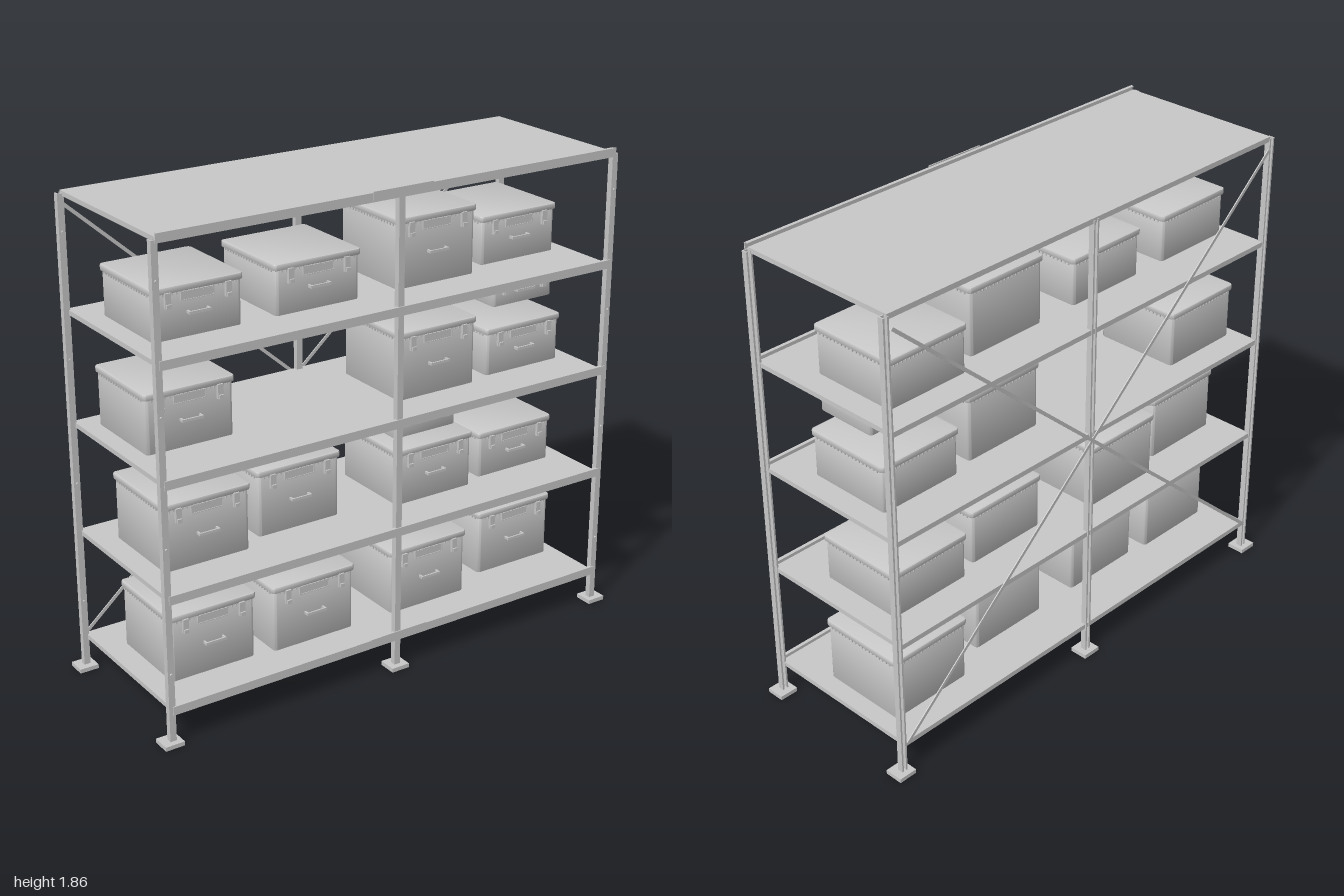
import * as THREE from 'three';
import { mergeGeometries, toCreasedNormals } from 'three/addons/utils/BufferGeometryUtils.js';

const grey = new THREE.MeshStandardMaterial({ color: 0xc8c8c8 });
grey.name = 'galvanised grey';

function add(parent, name, geometry, x = 0, y = 0, z = 0) {
  const mesh = new THREE.Mesh(geometry, grey);
  mesh.name = name;
  mesh.position.set(x, y, z);
  parent.add(mesh);
  return mesh;
}

const boxAt = (w, h, d, x = 0, y = 0, z = 0) => new THREE.BoxGeometry(w, h, d).translate(x, y, z);

// Upright slab with a rounded-rectangle plan, standing on y = 0
function roundedSlab(w, h, d, r, bevel) {
  const a = w / 2 - bevel, b = d / 2 - bevel;
  const s = new THREE.Shape();
  s.moveTo(-a + r, -b);
  s.lineTo(a - r, -b).absarc(a - r, -b + r, r, -Math.PI / 2, 0);
  s.lineTo(a, b - r).absarc(a - r, b - r, r, 0, Math.PI / 2);
  s.lineTo(-a + r, b).absarc(-a + r, b - r, r, Math.PI / 2, Math.PI);
  s.lineTo(-a, -b + r).absarc(-a + r, -b + r, r, Math.PI, Math.PI * 1.5);
  const g = new THREE.ExtrudeGeometry(s, {
    depth: h - 2 * bevel, bevelEnabled: true, bevelSize: bevel,
    bevelThickness: bevel, bevelSegments: 2, curveSegments: 4,
  });
  return toCreasedNormals(g.translate(0, 0, bevel).rotateX(-Math.PI / 2), 0.6);
}

// Storage box with rimmed lid, latches, label holder and handle; z is the lid's front edge
function makeBox(name, x, bottom, top, front, w = 0.358, d = 0.364) {
  const g = new THREE.Group();
  g.name = name;
  g.position.set(x, bottom, front - d / 2);
  const h = top - bottom, lidH = 0.024, bw = w - 0.014, bd = d - 0.014, face = bd / 2;
  const small = w < 0.3;
  add(g, 'body', roundedSlab(bw, h - lidH + 0.004, bd, 0.01, 0.004));
  add(g, 'lid', roundedSlab(w, lidH, d, 0.012, 0.005), 0, h - lidH);

  // Small ribs under the rim
  const ribs = [], ribY = h - lidH - 0.003, n = 18;
  for (let i = 0; i < n; i++) {
    const t = (i + 0.5) / n - 0.5;
    for (const s of [-1, 1]) {
      ribs.push(boxAt(0.005, 0.008, 0.006, t * (bw - 0.03), ribY, s * (face + 0.002)));
      ribs.push(boxAt(0.006, 0.008, 0.005, s * (bw / 2 + 0.002), ribY, t * (bd - 0.03)));
    }
  }
  add(g, 'rimRibs', mergeGeometries(ribs));

  // Latches
  for (const s of [-1, 1]) {
    const lx = s * (small ? 0.09 : 0.116);
    add(g, 'latch', boxAt(0.022, 0.054, 0.012), lx, h - 0.046, face + 0.008);
    add(g, 'latchTip', boxAt(0.018, 0.014, 0.008), lx, h - 0.064, face + 0.016);
  }

  // Label holder: thin plate inside a raised frame
  const lw = 0.124, lh = small ? 0.02 : 0.03, ly = h - (small ? 0.034 : 0.041);
  add(g, 'labelPlate', boxAt(lw, lh, 0.004), 0, ly, face + 0.002);
  for (const s of [-1, 1]) {
    add(g, 'labelFrame', boxAt(lw, 0.003, 0.007), 0, ly + s * lh / 2, face + 0.003);
    add(g, 'labelFrame', boxAt(0.003, lh, 0.007), s * lw / 2, ly, face + 0.003);
  }

  // Pull handle
  const hy = h * (small ? 0.46 : 0.47);
  add(g, 'handleBar', boxAt(0.084, 0.01, 0.006), 0, hy, face + 0.019);
  for (const s of [-1, 1]) add(g, 'handleArm', boxAt(0.007, 0.01, 0.02), s * 0.038, hy, face + 0.008);
  return g;
}

// Channel post, open towards the back
function postGeometry(h) {
  const w = 0.0125, d = 0.0115, t = 0.005, lip = 0.007;
  const s = new THREE.Shape([
    [-w, -d], [w, -d], [w, d], [w - lip, d], [w - lip, d - 0.004], [w - t, d - 0.004], [w - t, -d + t],
    [-w + t, -d + t], [-w + t, d - 0.004], [-w + lip, d - 0.004], [-w + lip, d], [-w, d],
  ].map(([x, y]) => new THREE.Vector2(x, y)));
  return new THREE.ExtrudeGeometry(s, { depth: h, bevelEnabled: false }).rotateX(-Math.PI / 2);
}

export function createModel() {
  const model = new THREE.Group();
  model.name = 'storageRack';

  // Posts with foot plates and bolts
  const post = postGeometry(1.825), bolt = new THREE.CylinderGeometry(0.005, 0.005, 0.008, 8).rotateX(Math.PI / 2);
  for (const z of [-0.326, 0.326]) {
    for (const x of [-0.957, 0, 0.957]) {
      const p = new THREE.Group();
      p.name = 'post';
      p.position.set(x, 0, z);
      model.add(p);
      add(p, 'upright', post, 0, 0.005, 0);
      add(p, 'footPlate', boxAt(0.075, 0.016, 0.072), x ? Math.sign(x) * 0.0055 : 0, 0.008, z > 0 ? -0.002 : 0.002);
      if (x) for (const y of [0.28, 0.755, 1.23, 1.695]) add(p, 'bolt', bolt, 0, y, 0.014);
    }
  }

  // Shelves: deck, front and back beams, side lips
  const levels = [0.138, 0.565, 0.99, 1.412, 1.838];
  levels.forEach((y, i) => {
    const shelf = new THREE.Group();
    shelf.name = 'shelf';
    shelf.position.y = y;
    model.add(shelf);
    add(shelf, 'deck', boxAt(1.9, 0.006, 0.66), 0, -0.003, 0);
    add(shelf, 'frontBeam', boxAt(1.91, 0.033, 0.004), 0, -0.002, 0.34);
    add(shelf, 'frontBeamTop', boxAt(1.9, 0.004, 0.012), 0, 0.0125, 0.334);
    add(shelf, 'frontBeamFoot', boxAt(1.9, 0.004, 0.012), 0, -0.0165, 0.334);
    add(shelf, 'backBeam', boxAt(1.9, 0.02, 0.004), 0, -0.01, -0.332);
    add(shelf, 'backBeamFoot', boxAt(1.9, 0.003, 0.014), 0, -0.0185, -0.326);
    for (const s of [-1, 1]) {
      add(shelf, 'sideLip', boxAt(0.004, 0.018, 0.64), s * 0.948, -0.009, 0);
      add(shelf, 'sideLipFoot', boxAt(0.012, 0.003, 0.64), s * 0.944, -0.0165, 0);
    }
    // Splice plates over the beam joint on the lowest and highest shelf
    if (i === 0 || i === 4) add(shelf, 'splicePlate', boxAt(0.25, 0.03, 0.004), 0, 0.004, 0.343);
  });

  // Crossed back braces
  const rise = 1.655, run = 1.88;
  for (const s of [-1, 1]) {
    const bar = add(model, 'crossBrace', boxAt(Math.hypot(rise, run), 0.013, 0.004), 0, 0.96, -0.341 - s * 0.0025);
    bar.rotation.z = s * Math.atan2(rise, run);
  }

  // Boxes on each shelf: [x, top, front]
  const rows = [
    [[-0.698, 0.406, 0.19], [-0.281, 0.406, 0.207], [0.238, 0.406, 0.207], [0.717, 0.406, 0.128]],
    [[-0.703, 0.83, 0.177], [-0.283, 0.83, 0.118], [0.281, 0.794, 0.177], [0.693, 0.757, 0.143]],
    [[-0.722, 1.222, 0.118], [0.275, 1.26, 0.192], [0.698, 1.184, 0.167]],
    [[-0.714, 1.607, 0.177], [-0.235, 1.607, 0.177], [0.273, 1.684, 0.177], [0.698, 1.607, 0.118]],
  ];
  rows.forEach((row, i) => row.forEach(([x, top, front]) =>
    model.add(makeBox('storageBox', x, levels[i] + 0.008, top, front))));

  // Two small boxes in the right-hand bays
  model.add(makeBox('smallBox', 0.259, 0.829, 0.947, 0.148, 0.292, 0.266));
  model.add(makeBox('smallBox', 0.706, 1.256, 1.373, 0.148, 0.292, 0.266));

  return model;
}
